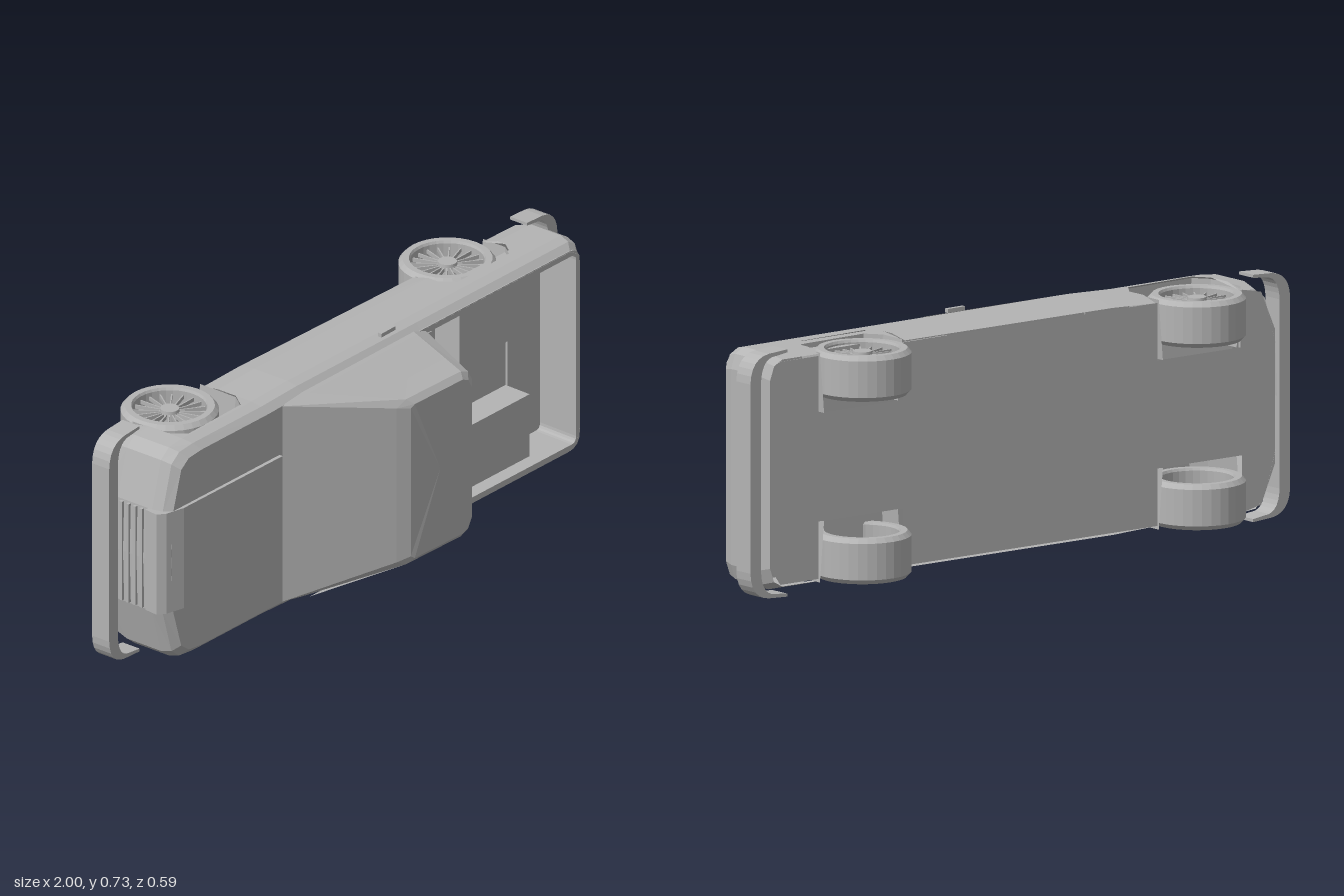
import * as THREE from 'three';

const MID = 0.37; // centre plane across the vehicle's width (y)
const WHEELS = [[-0.655, -0.155], [0.585, -0.125]]; // x, z of the axles
const ARCH = [[-0.155, null], [-0.155, -0.035], [-0.12, 0.012], [0.12, 0.012], [0.155, -0.035], [0.155, null]];
const sill = x => -0.142 + 0.04 * x;
const deckZ = x => 0.09 + 0.022 * x;

export function createModel() {
  const grey = new THREE.MeshStandardMaterial({ color: 0xb4b4b4, side: THREE.DoubleSide });
  grey.name = 'grey';
  const model = new THREE.Group();
  model.name = 'pickupTruck';

  const add = (name, geo, parent = model) => {
    const m = new THREE.Mesh(geo, grey);
    m.name = name;
    parent.add(m);
    return m;
  };
  const box = (name, x0, x1, y0, y1, z0, z1, parent) => {
    const m = add(name, new THREE.BoxGeometry(x1 - x0, y1 - y0, z1 - z0), parent);
    m.position.set((x0 + x1) / 2, (y0 + y1) / 2, (z0 + z1) / 2);
    return m;
  };
  // Flat-shaded skin through rows of [x, y, z] points
  const skin = (rows, closed = false) => {
    const v = [];
    for (let i = 0; i < rows.length - 1; i++) {
      const n = rows[i].length;
      for (let j = 0; j < (closed ? n : n - 1); j++) {
        const k = (j + 1) % n;
        const a = rows[i][j], b = rows[i][k], c = rows[i + 1][k], d = rows[i + 1][j];
        v.push(...a, ...b, ...c, ...a, ...c, ...d);
      }
    }
    const g = new THREE.BufferGeometry();
    g.setAttribute('position', new THREE.Float32BufferAttribute(v, 3));
    g.computeVertexNormals();
    return g;
  };
  const mirrored = pts => [...pts.map(([x, w, z]) => [x, MID + w, z]),
    ...pts.slice().reverse().map(([x, w, z]) => [x, MID - w, z])];

  // Body outline in plan: x, half width, lower edge
  const cols = [[-0.95, 0], [-0.945, 0.165], [-0.905, 0.31], [-0.87, 0.338]].map(([x, w]) => [x, w, sill(x)]);
  WHEELS.forEach(([wx], i) => {
    ARCH.forEach(([dx, z]) => cols.push([wx + dx, i ? 0.35 : 0.344, z ?? sill(wx + dx)]));
    if (!i) [-0.34, 0.16, 0.2].forEach(x => cols.push([x, 0.35, sill(x)]));
  });
  [[0.885, 0.35], [0.915, 0.333], [0.93, 0.29], [0.93, 0]].forEach(([x, w]) => cols.push([x, w, sill(x)]));
  const inset = (x, w, d, z) => [x * (1 - d), w * (1 - d / 0.35), z];
  const section = ([x, w, b]) => [
    inset(x, w, b > -0.09 ? 0 : 0.014, b),
    inset(x, w, 0, Math.max(b, -0.085 + 0.03 * x)),
    inset(x, w, 0, 0.035 + 0.022 * x),
    inset(x, w, 0.008, 0.068 + 0.022 * x),
    inset(x, w, 0.028, deckZ(x))];
  for (const s of [1, -1]) {
    const place = p => [p[0], MID + s * p[1], p[2]];
    add('bodySide', skin(cols.map(c => section(c).map(place))));
    const deck = cols.filter(c => c[0] <= 0.2).map(c => {
      const p = section(c)[4];
      return [place(p), [p[0], MID, p[2]]];
    });
    add('hoodDeck', skin(deck));
    // Wheel wells narrow slightly toward the middle
    for (const [wx] of WHEELS) {
      add('wheelWell', skin([[0.34, 1], [0.16, 0.9]].map(([w, k]) =>
        ARCH.map(([dx, z]) => [wx + dx * k, MID + s * w, z ?? sill(wx)]))));
    }
    // Door handle and side window
    box('doorHandle', 0.05, 0.115, MID + s * 0.354 - 0.006, MID + s * 0.354 + 0.006, 0.05, 0.063);
    const win = [[-0.33, 0.331, 0.103], [0.15, 0.333, 0.112], [0.145, 0.27, 0.265], [-0.1, 0.271, 0.26]].map(place);
    add('sideWindow', skin([[win[0], win[1]], [win[3], win[2]]]));
  }

  // Underside with notches for the wheels
  const edge = [[-0.93, 0.2], [-0.88, 0.315]];
  for (const [wx] of WHEELS)
    edge.push([wx - 0.155, 0.33], [wx - 0.155, 0.16], [wx + 0.155, 0.16], [wx + 0.155, 0.33]);
  edge.push([0.88, 0.33], [0.915, 0.28]);
  const floorShape = new THREE.Shape(mirrored(edge).map(p => new THREE.Vector2(p[0], p[1])));
  const floorGeo = new THREE.ShapeGeometry(floorShape);
  const fp = floorGeo.attributes.position;
  for (let i = 0; i < fp.count; i++) fp.setZ(i, sill(fp.getX(i)));
  floorGeo.computeVertexNormals();
  add('underside', floorGeo);

  // Raised hood panel wrapping over the nose
  const hoodShape = new THREE.Shape([[-0.44, 0.075], [-0.44, 0.092], [-0.88, 0.08], [-0.94, 0.064],
    [-0.963, 0.045], [-0.958, 0], [-0.92, 0]].map(p => new THREE.Vector2(...p)));
  const hood = add('hoodPanel', new THREE.ExtrudeGeometry(hoodShape, { depth: 0.325, bevelEnabled: false }));
  hood.rotation.x = Math.PI / 2;
  hood.position.y = 0.535;

  // Grille slats
  for (let i = 0; i < 4; i++)
    box('grilleSlat', -0.955, -0.93, MID - 0.16, MID + 0.16, -0.1 + i * 0.025, -0.09 + i * 0.025);

  // Cab: stacked rings from beltline to roof
  const rings = [
    [[-0.43, 0.318, 0.078], [-0.34, 0.332, 0.085], [0.16, 0.334, 0.094], [0.215, 0.315, 0.095], [0.245, 0.265, 0.095]],
    [[-0.125, 0.25, 0.262], [-0.09, 0.268, 0.268], [0.15, 0.268, 0.278], [0.182, 0.255, 0.279], [0.2, 0.222, 0.28]],
    [[-0.085, 0.24, 0.282], [-0.07, 0.25, 0.285], [0.14, 0.25, 0.294], [0.165, 0.238, 0.294], [0.18, 0.21, 0.294]],
  ].map(mirrored);
  rings.push(rings[2].map(p => [0.04, MID, 0.291]));
  add('cab', skin(rings, true));
  box('cabBackWall', 0.19, 0.24, MID - 0.305, MID + 0.305, -0.05, 0.097);

  // Load bed, tilted with the body
  const bed = new THREE.Group();
  bed.name = 'loadBed';
  bed.rotation.y = -0.022;
  model.add(bed);
  const rounded = (path, x0, x1, h, r) => {
    path.moveTo(x0, MID - h);
    path.lineTo(x1 - r, MID - h);
    path.quadraticCurveTo(x1, MID - h, x1, MID - h + r);
    path.lineTo(x1, MID + h - r);
    path.quadraticCurveTo(x1, MID + h, x1 - r, MID + h);
    path.lineTo(x0, MID + h);
    path.closePath();
    return path;
  };
  const tub = rounded(new THREE.Shape(), 0.19, 0.907, 0.325, 0.05);
  tub.holes.push(rounded(new THREE.Path(), 0.2, 0.89, 0.306, 0.02));
  const tubWalls = add('bedWalls', new THREE.ExtrudeGeometry(tub, { depth: 0.14, bevelEnabled: false, curveSegments: 4 }), bed);
  tubWalls.position.z = -0.05;
  box('bedFloor', 0.2, 0.9, MID - 0.31, MID + 0.31, -0.055, -0.047, bed);
  for (const s of [1, -1]) {
    const y = MID + s * 0.208;
    box('bedWheelBox', 0.42, 0.735, y - 0.103, y + 0.103, -0.047, 0.045, bed);
  }
  box('bedCrossRib', 0.735, 0.745, MID - 0.306, MID + 0.306, -0.047, -0.04, bed);

  // Wraparound bumpers
  const bumper = new THREE.Shape();
  bumper.moveTo(0.86, 0.366);
  bumper.lineTo(0.93, 0.362);
  bumper.quadraticCurveTo(0.997, 0.355, 1, 0.28);
  bumper.lineTo(1, -0.28);
  bumper.quadraticCurveTo(0.997, -0.355, 0.93, -0.362);
  bumper.lineTo(0.86, -0.366);
  bumper.lineTo(0.86, -0.357);
  bumper.lineTo(0.92, -0.35);
  bumper.quadraticCurveTo(0.957, -0.34, 0.96, -0.28);
  bumper.lineTo(0.96, 0.28);
  bumper.quadraticCurveTo(0.957, 0.34, 0.92, 0.35);
  bumper.lineTo(0.86, 0.357);
  for (const [name, z, turn] of [['rearBumper', -0.115, 0], ['frontBumper', -0.165, Math.PI]]) {
    const m = add(name, new THREE.ExtrudeGeometry(bumper, { depth: 0.064, bevelEnabled: false, curveSegments: 6 }));
    m.rotation.z = turn;
    m.position.set(0, MID, z);
  }

  // Wheels with wire spokes
  const tyreProfile = [[0.108, -0.06], [0.112, -0.0675], [0.131, -0.0675], [0.143, -0.054], [0.143, 0.054],
    [0.131, 0.0675], [0.112, 0.0675], [0.108, 0.06], [0.108, -0.06]].map(p => new THREE.Vector2(...p));
  const tyreGeo = new THREE.LatheGeometry(tyreProfile, 32).toNonIndexed();
  tyreGeo.computeVertexNormals();
  const hubGeo = new THREE.CylinderGeometry(0.028, 0.032, 0.035, 16);
  const spokeGeo = new THREE.BoxGeometry(0.085, 0.012, 0.004).translate(0.068, 0, 0);
  for (const [x, z] of WHEELS) for (const s of [1, -1]) {
    const wheel = new THREE.Group();
    wheel.name = 'wheel';
    wheel.position.set(x, MID + s * 0.27, z);
    wheel.rotation.x = s > 0 ? 0 : Math.PI;
    model.add(wheel);
    add('tyre', tyreGeo, wheel);
    add('hub', hubGeo, wheel).position.y = 0.04;
    for (let i = 0; i < 20; i++) {
      const spoke = add('spoke', spokeGeo, wheel);
      spoke.position.y = 0.042;
      spoke.rotation.y = (i / 20) * Math.PI * 2;
    }
  }
  return model;
}
